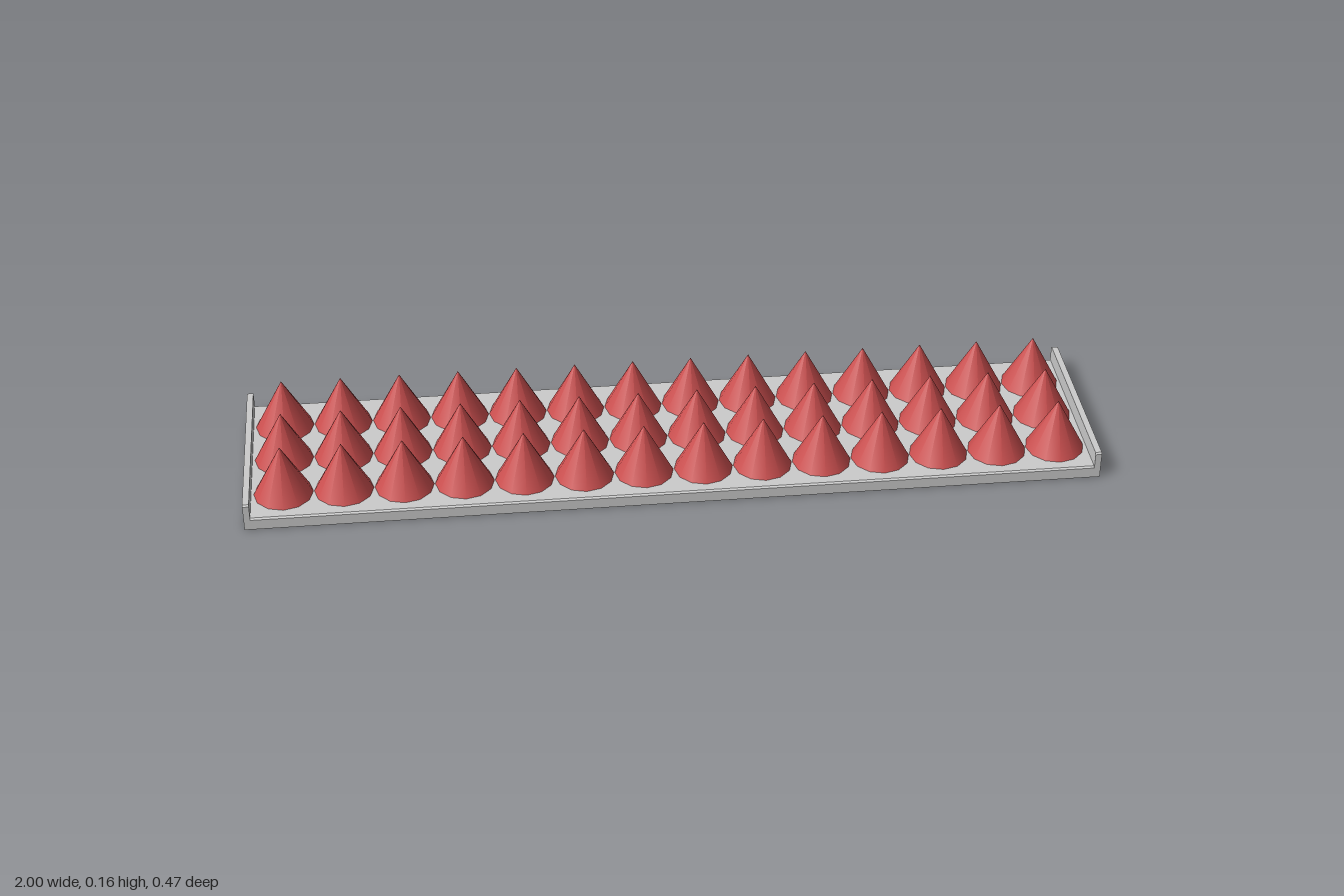
import * as THREE from 'three';

const grey = new THREE.MeshStandardMaterial({ color: 0xcccccc });
const red = new THREE.MeshStandardMaterial({ color: 0xcc4f4f });

// Extrude a side profile (drawn in z, y) along x, centred on x
function extrudeAlongX(points, length, x, name) {
  const shape = new THREE.Shape(points.map(([z, y]) => new THREE.Vector2(-z, y)));
  const geo = new THREE.ExtrudeGeometry(shape, { depth: length, bevelEnabled: false });
  geo.translate(0, 0, -length / 2).rotateY(Math.PI / 2);
  const mesh = new THREE.Mesh(geo, grey);
  mesh.position.x = x;
  mesh.name = name;
  return mesh;
}

export function createModel() {
  const model = new THREE.Group();
  model.name = 'spikedTray';
  const halfZ = 0.233, floorY = 0.03, wallY = 0.068, wallT = 0.015, c = 0.004;

  // Floor slab with chamfered long top edges
  model.add(extrudeAlongX([
    [halfZ, 0], [halfZ, floorY - c], [halfZ - c, floorY],
    [-halfZ + c, floorY], [-halfZ, floorY - c], [-halfZ, 0],
  ], 2 - 2 * wallT, 0, 'floor'));

  // Upright end walls with softened top corners
  for (const s of [-1, 1]) {
    model.add(extrudeAlongX([
      [halfZ, 0], [halfZ, wallY - c], [halfZ - c, wallY],
      [-halfZ + c, wallY], [-halfZ, wallY - c], [-halfZ, 0],
    ], wallT, s * (1 - wallT / 2), s > 0 ? 'leftEndWall' : 'rightEndWall'));
  }

  // Three rows of fourteen cones
  const height = 0.128;
  const coneGeo = new THREE.ConeGeometry(0.069, height, 12);
  const cones = new THREE.Group();
  cones.name = 'cones';
  for (let row = -1; row <= 1; row++) {
    for (let i = 0; i < 14; i++) {
      const cone = new THREE.Mesh(coneGeo, red);
      cone.name = 'cone';
      cone.position.set((i - 6.5) * 0.14, floorY + height / 2, row * 0.138);
      cones.add(cone);
    }
  }
  model.add(cones);
  return model;
}
